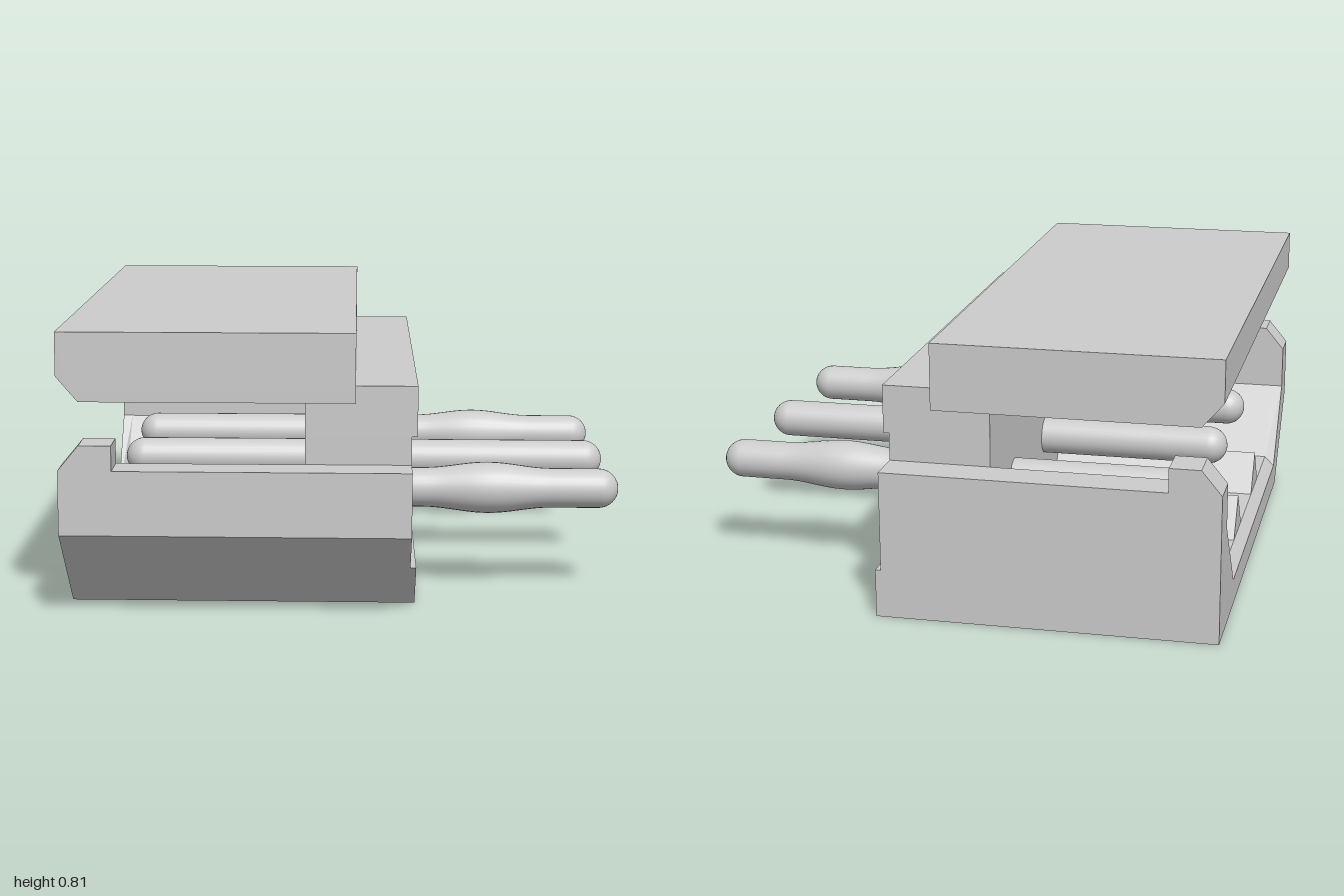
import * as THREE from 'three';

const grey = () => new THREE.MeshStandardMaterial({ color: 0xcccccc });

const shapeOf = (pts) => new THREE.Shape(pts.map(([a, b]) => new THREE.Vector2(a, b)));

// profile in (x, y), swept from z0 to z1
function sweepZ(pts, z0, z1) {
  const g = new THREE.ExtrudeGeometry(shapeOf(pts), { depth: z1 - z0, bevelEnabled: false });
  return g.translate(0, 0, z0);
}

// profile in (z, y), swept from x0 to x1
function sweepX(pts, x0, x1) {
  const g = new THREE.ExtrudeGeometry(shapeOf(pts), { depth: x1 - x0, bevelEnabled: false });
  return g.rotateY(-Math.PI / 2).translate(x1, 0, 0);
}

const block = (x0, x1, y0, y1, z0, z1) =>
  sweepZ([[x0, y0], [x1, y0], [x1, y1], [x0, y1]], z0, z1);

export function createModel() {
  const model = new THREE.Group();
  model.name = 'pinHeader';
  const body = new THREE.Group();
  body.name = 'connector';
  body.rotation.y = 0.842; // the connector stands diagonally
  model.add(body);

  const add = (name, geometry) => {
    const mesh = new THREE.Mesh(geometry, grey());
    mesh.name = name;
    body.add(mesh);
    return mesh;
  };

  // outer ends, inner ends, back, inner wall, pin face and raised pin face
  const L = -0.836, R = 0.8, l = -0.727, r = 0.688;
  const back = -0.593, wall = 0.075, face = 0.368, raised = 0.384;
  const sideTop = 0.43, floor = 0.107, lip = 0.03, mid = (L + R) / 2;

  // tray: end walls, floor and sloped inner corners, one lower end cut off
  const tray = [
    [-0.586, 0], [R, 0], [R, sideTop], [r, sideTop], [r, 0.3], [0.51, floor],
    [-0.533, floor], [l, 0.3], [l, sideTop], [L, sideTop], [L, 0.25],
  ];
  add('tray', sweepZ(tray, back + lip, wall));

  // bevelled rim of the tray floor
  const rim = sweepZ(tray, back, back + lip);
  const p = rim.attributes.position;
  for (let i = 0; i < p.count; i++) {
    if (p.getZ(i) < back + 0.001 && Math.abs(p.getY(i) - floor) < 0.001) p.setY(i, floor - lip);
  }
  rim.computeVertexNormals();
  add('trayRim', rim);

  // wall that carries the pins
  add('pinWall', sweepZ(
    [[-0.586, 0], [R, 0], [R, sideTop], [L, sideTop], [L, 0.25]], wall, face));
  add('pinWallFoot', sweepZ(
    [[-0.586, 0], [R, 0], [R, 0.14], [-0.726, 0.14]], face, raised));
  add('pinWallNeck', block(l, r, sideTop, 0.51, wall, face));
  add('pinWallHead', block(l, r, 0.51, 0.65, wall, raised));

  // lid with bevelled back edge and deeper ends
  const lidFront = 0.214;
  add('lid', sweepX(
    [[-0.559, 0.65], [lidFront, 0.65], [lidFront, 0.81], [back, 0.81], [back, 0.69]], L, R));
  const lidEnd = [[-0.533, 0.62], [lidFront, 0.62], [lidFront, 0.65], [-0.559, 0.65]];

  // raised posts at the open side
  const post = [[back, sideTop], [-0.446, sideTop], [-0.446, 0.5], [-0.535, 0.5]];
  for (const [side, x0, x1] of [['right', L, l], ['left', r, R]]) {
    add(side + 'LidEnd', sweepX(lidEnd, x0, x1));
    add(side + 'Post', sweepX(post, x0, x1));
  }

  // triangular ribs between the pins
  for (const s of [-1, 1]) {
    const x = mid + s * 0.209;
    add('floorRib', sweepZ(
      [[x - 0.08, floor], [x + 0.08, floor], [x, 0.22]], back + lip, wall));
  }

  // pins: round ends, the outer two swollen outside the wall
  const rad = 0.057, inner = -0.443, outer = 0.915;
  const pinGeometry = (swollen) => {
    const pts = [];
    for (let i = 0; i <= 8; i++) {
      const a = (i / 8) * Math.PI / 2;
      pts.push(new THREE.Vector2(rad * Math.sin(a), inner - rad * Math.cos(a)));
    }
    if (swollen) {
      for (let i = 0; i <= 16; i++) {
        const t = i / 16;
        pts.push(new THREE.Vector2(
          rad + 0.017 * Math.sin(Math.PI * t) ** 2, 0.41 + 0.37 * t));
      }
    }
    for (let i = 0; i <= 8; i++) {
      const a = (i / 8) * Math.PI / 2;
      pts.push(new THREE.Vector2(rad * Math.cos(a), outer + rad * Math.sin(a)));
    }
    return new THREE.LatheGeometry(pts, 28).rotateX(Math.PI / 2);
  };
  for (const k of [-1, 0, 1]) {
    add('pin', pinGeometry(k !== 0)).position.set(mid + k * 0.418, 0.305, 0);
  }

  return model;
}
